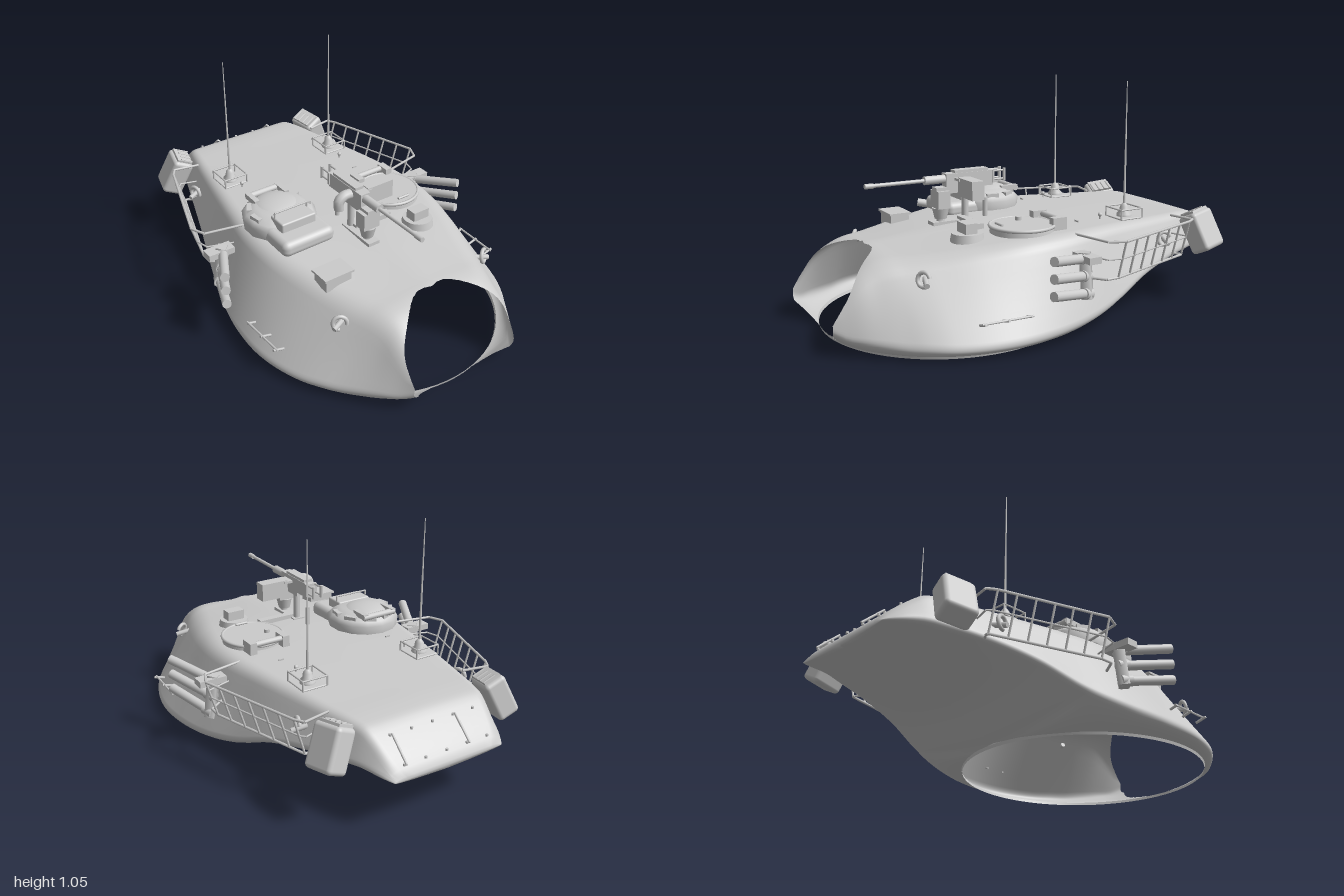
import * as THREE from 'three';
import { RoundedBoxGeometry } from 'three/addons/geometries/RoundedBoxGeometry.js';

const V = (x, y, z) => new THREE.Vector3(x, y, z);
const grey = new THREE.MeshStandardMaterial({ color: 0xcccccc });
const greyBoth = new THREE.MeshStandardMaterial({ color: 0xcccccc, side: THREE.DoubleSide });
const RING_Z = 0.375, RING_R = 0.575, MID_X = 0.01;

function add(parent, name, geo, x = 0, y = 0, z = 0, mat = grey) {
  const m = new THREE.Mesh(geo, mat);
  m.name = name;
  m.position.set(x, y, z);
  parent.add(m);
  return m;
}
const group = (parent, name) => { const g = new THREE.Group(); g.name = name; parent.add(g); return g; };
const box = (p, name, w, h, d, x, y, z) => add(p, name, new THREE.BoxGeometry(w, h, d), x, y, z);
const cyl = (p, name, r0, r1, h, x, y, z, n = 24) => add(p, name, new THREE.CylinderGeometry(r0, r1, h, n), x, y, z);
function rod(p, name, a, b, r, n = 8, r2 = r) {
  const d = b.clone().sub(a);
  const m = cyl(p, name, r2, r, d.length(), 0, 0, 0, n);
  m.position.copy(a).addScaledVector(d, 0.5);
  m.quaternion.setFromUnitVectors(V(0, 1, 0), d.normalize());
  return m;
}
const rail = (p, name, pts, r) => pts.slice(1).forEach((b, i) => rod(p, name, pts[i], b, r, 6));

// Shell stations: z, bottom y, widest half width, its y, roof half width, roof edge y, rise to the roof centre
const stations = [
  [-1, .22, .285, .235, .24, .25, 0], [-.97, .217, .305, .24, .26, .285, 0], [-.87, .207, .345, .255, .29, .372, 0],
  [-.83, .203, .36, .255, .30, .398, .002], [-.78, .198, .378, .25, .312, .406, .003], [-.6, .17, .435, .23, .35, .411, .004],
  [-.4, .115, .495, .185, .39, .416, .004], [-.2, .018, .555, .11, .43, .419, .004], [0, .012, .612, .07, .46, .418, .005],
  [.2, .012, .645, .055, .455, .412, .008], [.4, .012, .642, .05, .41, .393, .016], [.6, .012, .584, .05, .345, .37, .023],
  [.7, .012, .528, .055, .31, .362, .022], [.76, .012, .485, .055, .29, .36, .018], [.82, .012, .44, .06, .274, .348, .01],
  [.9, .012, .377, .065, .274, .303, .003], [.96, .02, .324, .07, .27, .245, 0], [1, .06, .287, .09, .266, .19, 0]];

// Half section from the underside to the roof centre, with rounded corners
function halfSection([yb, w, ym, r, yr, rise], z) {
  const xr = Math.min(w - .03, Math.sqrt(Math.max(0, RING_R ** 2 - (z - RING_Z) ** 2)));
  const P = [V(xr, yb, z), V(w, ym, z), V(r, yr, z), V(0, yr + rise, z)];
  const belly = V(xr * .4 + w * .6, yb + .2 * (ym - yb), z);
  const toward = (a, b, d) => a.clone().lerp(b, Math.min(.45, d / a.distanceTo(b)));
  const round = .055 + .03 * z;
  const a0 = toward(P[1], belly, .03), a1 = toward(P[1], P[2], .03);
  const b0 = toward(P[2], P[1], round), b1 = toward(P[2], P[3], round);
  const parts = [new THREE.QuadraticBezierCurve3(P[0], belly, a0), new THREE.QuadraticBezierCurve3(a0, P[1], a1),
    new THREE.LineCurve3(a1, b0), new THREE.QuadraticBezierCurve3(b0, P[2], b1), new THREE.LineCurve3(b1, P[3])];
  return parts.flatMap((c, i) => c.getPoints(6).slice(i ? 1 : 0));
}

// Positive outside the gun opening, negative inside
function opening(p) {
  if (p.z < .5) return 1;
  const dx = Math.abs(p.x) / .282, dy = (p.y - .196) / .182;
  const e = dy > 0 ? 2.4 : 3;
  return dx ** e + Math.abs(dy) ** e - 1;
}

function shellGeometry() {
  const interp = new THREE.CubicInterpolant(stations.map(s => s[0]), stations.flatMap(s => s.slice(1)), 6);
  const rows = [], N = 100;
  for (let i = 0; i <= N; i++) {
    const z = -1 + 2 * i / N;
    const half = halfSection([...interp.evaluate(z)], z);
    rows.push([...half, ...half.slice(0, -1).reverse().map(p => V(-p.x, p.y, p.z))]);
  }
  rows.unshift(rows[0].map(p => V(p.x * .98, .235, -1)));       // closes the tail
  const W = rows[0].length, idx = [];
  for (let i = 0; i < rows.length - 1; i++) for (let j = 0; j < W - 1; j++) {
    const a = i * W + j, b = a + 1, c = a + W, d = c + 1;
    idx.push(a, b, c, b, d, c);
  }
  const full = new THREE.BufferGeometry().setFromPoints(rows.flat());
  full.setIndex(idx);
  full.computeVertexNormals();
  // Trim every triangle against the gun opening
  const verts = rows.flat().map((p, i) => ({ p, n: V().fromBufferAttribute(full.attributes.normal, i), f: opening(p) }));
  const pos = [], nor = [];
  for (let t = 0; t < idx.length; t += 3) {
    const tri = [0, 1, 2].map(k => verts[idx[t + k]]), poly = [];
    tri.forEach((u, k) => {
      const v = tri[(k + 1) % 3];
      if (u.f >= 0) poly.push(u);
      if ((u.f >= 0) !== (v.f >= 0)) {
        const s = u.f / (u.f - v.f);
        poly.push({ p: u.p.clone().lerp(v.p, s), n: u.n.clone().lerp(v.n, s).normalize() });
      }
    });
    for (let k = 1; k < poly.length - 1; k++) for (const q of [poly[0], poly[k], poly[k + 1]]) {
      pos.push(...q.p.toArray());
      nor.push(...q.n.toArray());
    }
  }
  const g = new THREE.BufferGeometry();
  g.setAttribute('position', new THREE.Float32BufferAttribute(pos, 3));
  g.setAttribute('normal', new THREE.Float32BufferAttribute(nor, 3));
  return g;
}

// Parts that appear on both sides; s is the side (+1 left, -1 right)
function sideParts(root, s) {
  const side = group(root, s > 0 ? 'leftSide' : 'rightSide');
  side.position.x = MID_X;
  const P = (x, y, z) => V(s * x, y, z);
  // Smoke launcher
  const smoke = group(side, 'smokeLauncher');
  smoke.position.x = -.012;
  rod(smoke, 'launcherPlate', P(.585, .16, -.02), P(.56, .36, -.02), .032, 4);
  box(smoke, 'launcherBracket', .13, .03, .06, s * .575, .34, -.02);
  for (let i = 0; i < 3; i++) {
    const y = .185 + i * .073, x = .585 - i * .014;
    rod(smoke, 'launcherTube', P(x, y, -.02), P(.67, y + .045, .205), .021, 16);
    rod(smoke, 'launcherCollar', P(x - .005, y - .003, -.035), P(x + .014, y + .006, .01), .025, 16);
  }
  // Storage basket
  const basket = group(side, 'basket');
  const path = y => { const k = (.41 - y) / .17;
    return [P(.43 + .1 * k, y, -.05), P(.62 - .02 * k, y, -.09 - .01 * k), P(.65 - .05 * k, y, -.16),
      P(.5 - .05 * k, y, -.64), P(.475 - .04 * k, y, -.68 + .04 * k), P(.35 + .05 * k, y, -.655 + .04 * k)]; };
  const top = path(.41), mid = path(.33), low = path(.24);
  rail(basket, 'basketTopRail', top, .006);
  rail(basket, 'basketMiddleRail', mid, .004);
  rail(basket, 'basketBottomRail', low, .006);
  for (let i = 0; i <= 6; i++)
    rod(basket, 'basketUpright', top[2].clone().lerp(top[3], i / 6), low[2].clone().lerp(low[3], i / 6), .005, 6);
  // Rear box
  const bin = group(side, 'rearBox');
  bin.position.set(s * .425, .332, -.785);
  bin.rotation.set(.12, s * .22, s * .42);
  add(bin, 'boxBody', new RoundedBoxGeometry(.105, .19, .145, 3, .02));
  box(bin, 'boxLid', .08, .02, .11, 0, .095, 0);
  for (let i = 0; i < 4; i++) rod(bin, 'boxRib', V(-s * .04, .105, -.045 + i * .03), V(s * .02, .105, -.045 + i * .03), .005, 6);
  // Lifting eyes
  for (const [x, y, z, ry] of [[.405, .305, .66, .5], [.43, .325, -.55, 1.3]]) {
    const eye = add(side, 'liftingEye', new THREE.TorusGeometry(.03, .009, 8, 20, 5), s * x, y, z);
    eye.rotation.set(-.2, s * ry, s * .4);
    rod(side, 'eyeFoot', P(x - .035, y - .005, z - .02), P(x + .03, y - .02, z), .012);
  }
  // Side stowage rail
  rod(side, 'sideRail', P(.628, .155, .28), P(.618, .155, .51), .005, 6);
  for (const z of [.29, .395, .5]) rod(side, 'sideRailPin', P(.58, .14, z), P(.632, .155, z), .006, 6);
  // Aerial
  const aerial = group(side, 'aerial');
  aerial.position.set(s * .298, .42, -.415);
  add(aerial, 'aerialPlate', new RoundedBoxGeometry(.12, .008, .12, 2, .004));
  const c = [[-1, -1], [1, -1], [1, 1], [-1, 1]].map(([x, z]) => V(x * .06, .045, z * .06));
  rail(aerial, 'aerialGuard', [...c, c[0]], .004);
  c.forEach(p => rod(aerial, 'aerialGuardPost', p, V(p.x, 0, p.z), .004, 6));
  add(aerial, 'aerialBase', new THREE.LatheGeometry([[.035, 0], [.035, .015], [.022, .03], [.02, .05], [.008, .065], [0, .066]]
    .map(q => new THREE.Vector2(...q)), 20), 0, 0, 0, greyBoth);
  rod(aerial, 'aerialWhip', V(0, .05, 0), V(0, .63, 0), .006, 8, .002);
  // Roof pin and tab, staggered from side to side
  const shift = s > 0 ? .04 : 0;
  rod(side, 'roofPin', P(.28, .415, -.33 + shift), P(.28, .435, -.33 + shift), .004, 6);
  add(side, 'roofPinHead', new THREE.SphereGeometry(.01, 10, 8), s * .28, .44, -.33 + shift);
  box(side, 'roofTab', .025, .012, .006, s * .28, .422, -.2 + shift);
}

export function createModel() {
  const root = new THREE.Group();
  root.name = 'turret';
  add(root, 'shell', shellGeometry(), MID_X, 0, 0, greyBoth);
  add(root, 'turretRing', new THREE.CylinderGeometry(RING_R, RING_R - .004, .014, 72, 1, true), MID_X, .007, RING_Z, greyBoth);
  sideParts(root, 1);
  sideParts(root, -1);

  // Commander's cupola
  const cupola = group(root, 'cupola');
  cupola.position.set(-.277, .41, .02);
  add(cupola, 'cupolaBody', new THREE.LatheGeometry([[.168, 0], [.174, .05], [.155, .068], [.11, .1], [0, .102]]
    .map(q => new THREE.Vector2(...q)), 14), 0, 0, 0, greyBoth);
  add(cupola, 'cupolaFront', new RoundedBoxGeometry(.27, .075, .24, 3, .03), 0, .025, .14);
  add(cupola, 'cupolaHatch', new THREE.SphereGeometry(.115, 24, 10, 0, Math.PI * 2, 0, Math.PI / 2), 0, .075, -.02).scale.y = .36;
  add(cupola, 'cupolaSight', new RoundedBoxGeometry(.18, .075, .1, 2, .008), 0, .068, .12);
  rail(cupola, 'sightGuard', [V(-.085, .08, .1), V(-.085, .128, .1), V(.085, .128, .1), V(.085, .08, .1)], .004);
  rod(cupola, 'hatchHinge', V(-.09, .095, -.135), V(.09, .095, -.135), .015, 12);
  for (const x of [-.08, .08]) box(cupola, 'hingeArm', .025, .025, .09, x, .098, -.1);
  for (let i = 0; i < 6; i++) {
    const a = Math.PI * (.95 + i * .22);
    const p = box(cupola, 'visionBlock', .06, .03, .03, Math.cos(a) * .133, .072, Math.sin(a) * .133);
    p.rotation.y = -a + Math.PI / 2;
  }

  // Gunner's sight
  const sight = group(root, 'gunnerSight');
  box(sight, 'sightHousing', .13, .06, .09, -.305, .395, .485);
  box(sight, 'sightLid', .15, .01, .105, -.305, .427, .485);

  // Loader's hatch
  const hatch = group(root, 'loaderHatch');
  hatch.position.set(.28, .41, .125);
  cyl(hatch, 'hatchLid', .14, .145, .04, 0, .015, 0, 40);
  add(hatch, 'hatchRim', new THREE.TorusGeometry(.143, .008, 8, 48), 0, .03, 0).rotation.x = Math.PI / 2;
  rod(hatch, 'hatchHinge', V(-.09, .05, -.15), V(.09, .05, -.15), .014, 12);
  for (const x of [-.085, .085]) box(hatch, 'hingeBlock', .035, .06, .07, x, .035, -.135);
  rod(hatch, 'hatchHandle', V(-.03, .045, .115), V(.03, .045, .115), .006, 8);
  cyl(hatch, 'hatchLatch', .014, .014, .02, -.065, .042, -.02, 12);

  // Loader's periscope
  const scope = group(root, 'periscope');
  cyl(scope, 'periscopeRing', .068, .076, .04, .25, .41, .38, 32);
  box(scope, 'periscopeHead', .085, .05, .055, .25, .45, .38);

  // Machine gun on its post
  const gun = group(root, 'machineGun');
  gun.position.x = -.034;
  cyl(gun, 'post', .018, .022, .04, 0, .425, .37, 16);
  cyl(gun, 'pivotCup', .04, .028, .05, 0, .46, .37, 20);
  box(gun, 'cradle', .085, .08, .06, 0, .525, .37);
  box(gun, 'cradleArm', .05, .03, .2, 0, .565, .3);
  box(gun, 'receiver', .05, .07, .24, 0, .605, .23);
  box(gun, 'topCover', .045, .016, .17, 0, .645, .22);
  rod(gun, 'barrelJacket', V(0, .615, .34), V(0, .615, .45), .02, 16);
  rod(gun, 'barrel', V(0, .615, .45), V(0, .615, .71), .009, 12);
  rod(gun, 'muzzle', V(0, .615, .69), V(0, .615, .73), .012, 12);
  box(gun, 'backPlate', .06, .06, .012, 0, .61, .11);
  for (const x of [-.022, .022]) {
    rod(gun, 'grip', V(x, .585, .05), V(x, .645, .05), .008, 8);
    for (const y of [.595, .635]) rod(gun, 'gripArm', V(x, y, .05), V(x, y, .11), .005, 6);
  }
  box(gun, 'ammoBox', .14, .085, .06, .12, .583, .275);
  box(gun, 'ammoTray', .06, .012, .07, .04, .615, .275);
  const chute = new THREE.CatmullRomCurve3([V(-.02, .61, .27), V(-.06, .61, .27), V(-.085, .59, .27), V(-.085, .55, .27)]);
  add(gun, 'ejectionChute', new THREE.TubeGeometry(chute, 16, .024, 10), 0, 0, 0, greyBoth);
  rod(gun, 'rearPost', V(0, .42, .245), V(0, .57, .245), .016, 12);
  box(gun, 'mountArm', .2, .025, .035, .1, .425, .27);
  rod(gun, 'mountStop', V(0, .42, .14), V(0, .51, .14), .012, 10);
  box(gun, 'mountPlate', .06, .016, .2, 0, .416, .32);

  // Tail fittings
  for (let i = 0; i < 5; i++) for (const [z, y] of [[-.975, .287], [-.88, .37]])
    cyl(root, 'tailStud', .006, .006, .01, -.2 + i * .105, y, z, 8);
  for (const x of [-.1, .215]) rod(root, 'tailBar', V(x, .288, -.985), V(x, .378, -.885), .005, 6);
  return root;
}
